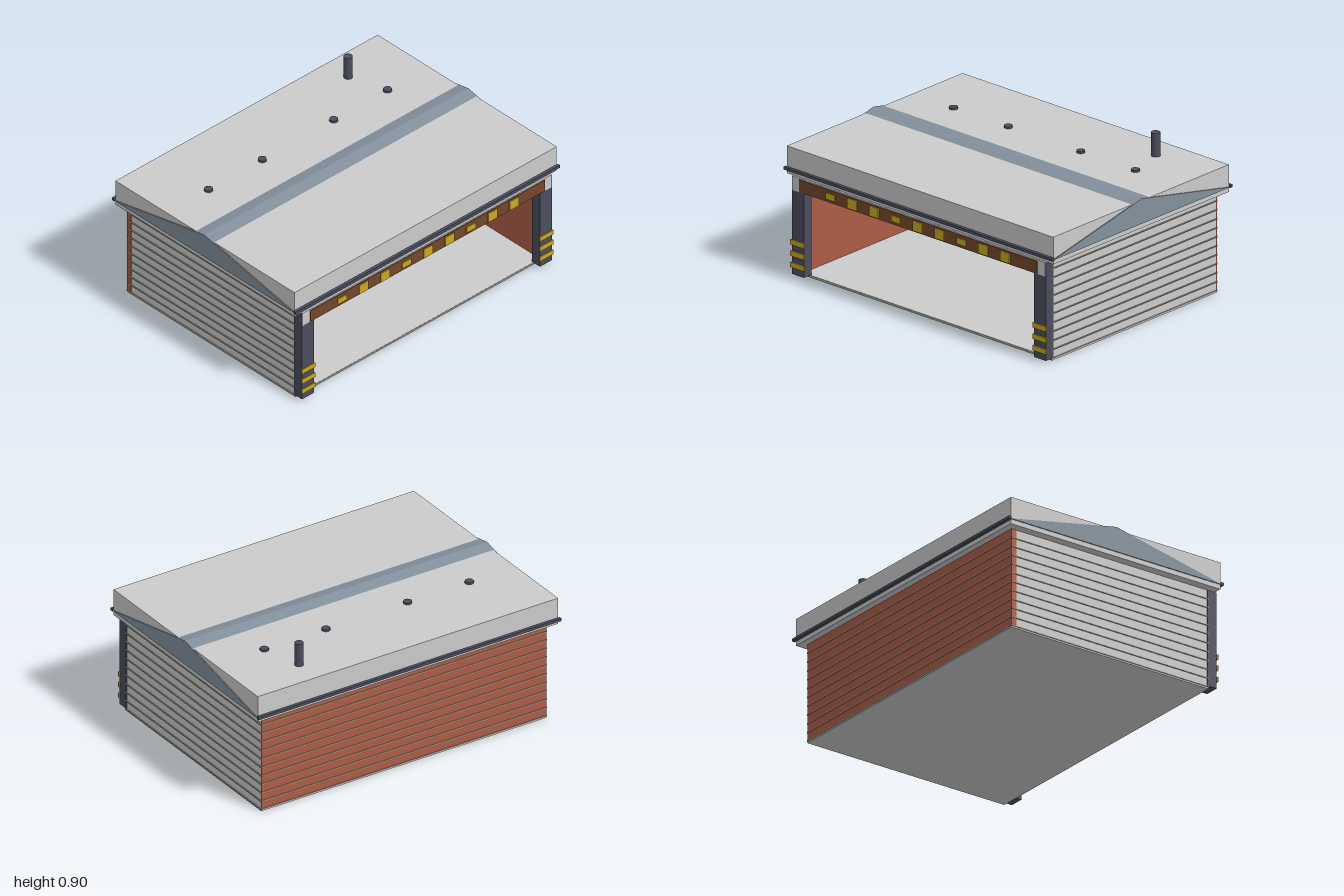
import * as THREE from 'three';

export function createModel() {
  const model = new THREE.Group();
  const mat = (name, color) => {
    const m = new THREE.MeshStandardMaterial({ color });
    m.name = name;
    return m;
  };
  const lightGrey = mat('light grey', 0xcbcbcb);
  const slate = mat('slate blue', 0x82909c);
  const steel = mat('dark steel', 0x4b4e5d);
  const brick = mat('brick', 0xae5c46);
  const mortar = mat('mortar', 0xa5a392);
  const timber = mat('timber brown', 0x73472a);
  const yellow = mat('warning yellow', 0xcba920);

  const add = (name, geometry, material, x = 0, y = 0, z = 0) => {
    const mesh = new THREE.Mesh(geometry, material);
    mesh.name = name;
    mesh.position.set(x, y, z);
    model.add(mesh);
    return mesh;
  };
  // box given by its extents on each axis
  const box = (name, material, [x0, x1], [y0, y1], [z0, z1]) =>
    add(name, new THREE.BoxGeometry(x1 - x0, y1 - y0, z1 - z0), material,
      (x0 + x1) / 2, (y0 + y1) / 2, (z0 + z1) / 2);
  // the same box on the +x or -x side
  const sideBox = (name, material, s, [x0, x1], ys, zs) =>
    box(name, material, s > 0 ? [x0, x1] : [-x1, -x0], ys, zs);

  // floor slab
  box('floor', lightGrey, [-0.942, 0.942], [0, 0.015], [-0.677, 0.673]);

  // back wall: pale inside, brick outside
  box('backWall', lightGrey, [-0.94, 0.94], [0.015, 0.6], [-0.67, -0.64]);
  box('backBrick', brick, [-0.94, 0.94], [0.015, 0.6], [-0.677, -0.67]);
  box('cornerBrick', brick, [-0.943, -0.94], [0.015, 0.6], [-0.677, -0.645]);

  // side walls with brick lining
  for (const s of [1, -1]) {
    sideBox('sideWall', lightGrey, s, [0.915, 0.94], [0.015, 0.6], [-0.67, 0.673]);
    sideBox('sideLining', brick, s, [0.908, 0.915], [0.015, 0.6], [-0.64, 0.663]);
  }

  // horizontal courses on the side and back walls
  for (let i = 0; i < 11; i++) {
    const y = 0.01 + Math.max(i * 0.0535, 0.002);
    const ys = [y - 0.003, y + 0.003];
    for (const s of [1, -1]) sideBox('sideCourse', mortar, s, [0.938, 0.946], ys, [-0.677, 0.673]);
    box('backCourse', mortar, [-0.94, 0.94], ys, [-0.681, -0.675]);
  }
  box('thresholdStrip', mortar, [-0.942, 0.942], [0.004, 0.014], [0.67, 0.675]);

  // front columns with warning bands
  for (const s of [1, -1]) {
    sideBox('column', steel, s, [0.856, 0.945], [0.015, 0.595], [0.663, 0.727]);
    for (const y of [0.07, 0.138, 0.205])
      sideBox('columnBand', yellow, s, [0.85, 0.952], [y - 0.015, y + 0.015], [0.725, 0.733]);
  }

  // lintel, fascia board and its painted marks
  box('lintel', lightGrey, [-0.942, 0.942], [0.515, 0.6], [0.668, 0.729]);
  box('fasciaBoard', timber, [-0.887, 0.887], [0.519, 0.592], [0.727, 0.734]);
  for (let i = 0; i < 9; i++) {
    const x = -0.65 + i * 0.1625;
    const h = i % 3 ? 0.03 : 0.018;
    box('fasciaMark', yellow, [x - 0.034, x + 0.034], [0.554 - h, 0.554 + h], [0.733, 0.74]);
  }

  // flat roof block
  box('roofBlock', lightGrey, [-0.992, 0.992], [0.598, 0.76], [-0.718, 0.717]);

  // gable running through the roof block, its ridge just above the top
  const gable = new THREE.Shape([
    new THREE.Vector2(-0.725, 0.626),
    new THREE.Vector2(0.725, 0.626),
    new THREE.Vector2(0, 0.775),
  ]);
  const gableGeometry = new THREE.ExtrudeGeometry(gable, { depth: 1.996, bevelEnabled: false });
  gableGeometry.translate(0, 0, -0.998).rotateY(Math.PI / 2);
  add('gable', gableGeometry, slate);

  // gutters along both eaves
  for (const z of [-0.729, 0.726])
    box('gutter', steel, [-1, 1], [0.622, 0.639], [z - 0.009, z + 0.009]);

  // roof vents and chimney pipe
  for (const x of [-0.68, -0.273, 0.267, 0.674])
    add('roofVent', new THREE.CylinderGeometry(0.025, 0.025, 0.04, 12), steel, x, 0.752, -0.303);
  add('chimney', new THREE.CylinderGeometry(0.026, 0.026, 0.2, 12), steel, 0.605, 0.8, -0.545);

  // hanging lamps
  const shade = new THREE.CylinderGeometry(0.013, 0.035, 0.027, 12);
  for (const x of [-0.54, 0, 0.54]) {
    add('lampRod', new THREE.CylinderGeometry(0.006, 0.006, 0.1, 8), steel, x, 0.55, 0.2);
    add('lampShade', shade, steel, x, 0.496, 0.2);
    add('lampBulb', new THREE.SphereGeometry(0.014, 10, 6), steel, x, 0.484, 0.2);
  }

  return model;
}
